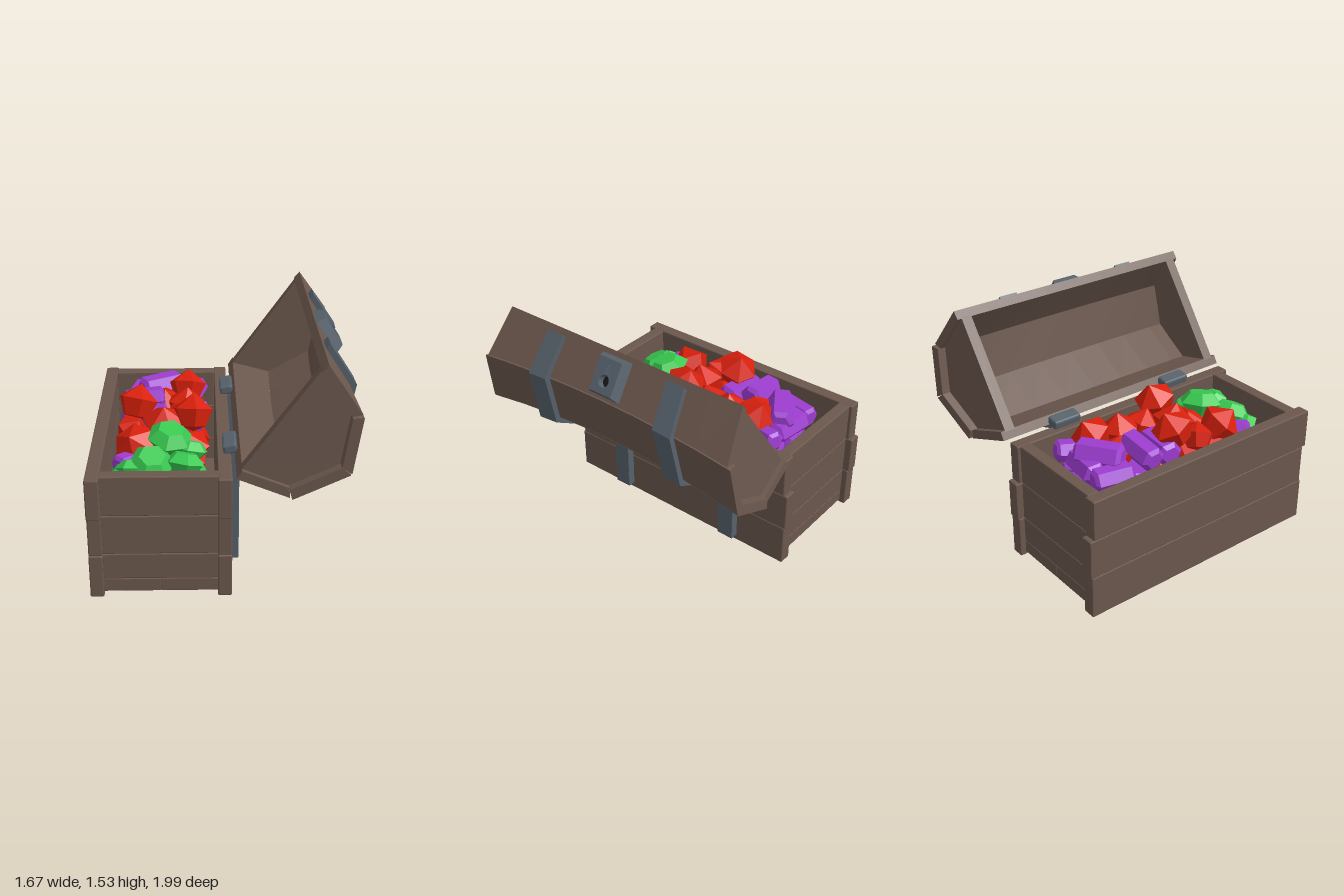
import * as THREE from 'three';
import { RoundedBoxGeometry } from 'three/addons/geometries/RoundedBoxGeometry.js';

const mat = (color) => new THREE.MeshStandardMaterial({ color, flatShading: true });
const WOOD = mat(0x6b574d), IRON = mat(0x56616b), DARK = mat(0x15171a);
const RED = mat(0xd8200c), GREEN = mat(0x38c950), PURPLE = mat(0x9c3ccf);

function add(parent, name, geometry, material, x = 0, y = 0, z = 0) {
  const mesh = new THREE.Mesh(geometry, material);
  mesh.name = name;
  mesh.position.set(x, y, z);
  parent.add(mesh);
  return mesh;
}
const board = (w, h, d, bevel = 0.007) => new RoundedBoxGeometry(w, h, d, 1, bevel);

// Lid cross-section: x runs across the opening, -y is the height of the lid
const PROFILE = [[0, 0], [0.1, -0.32], [0.44, -0.492], [0.755, -0.335], [0.87, 0]];
// Scaled profile; trim shortens its last side
function ring(s, trim = 0) {
  const pts = PROFILE.map(([x, y]) => new THREE.Vector2(0.435 + (x - 0.435) * s, y * s));
  pts[4].lerp(pts[3], trim);
  return pts;
}

// Extrude a lid section from z0 to z1, flaring the ends and pinching the middle
function lidSection(points, z0, z1, steps) {
  const g = new THREE.ExtrudeGeometry(new THREE.Shape(points), { depth: z1 - z0, steps, bevelEnabled: false });
  g.translate(0, 0, z0);
  const p = g.attributes.position;
  for (let i = 0; i < p.count; i++) {
    const y = p.getY(i), z = p.getZ(i);
    p.setY(i, y * (0.86 + 0.14 * (z / 0.91) ** 2));
    p.setZ(i, z * (1 - 0.17 * y));
  }
  g.computeVertexNormals();
  return g;
}

// One flat strip of the lid between two profiles, grooved at the outer edges
function lidStrip(i, a, b, z0, z1, steps, groove) {
  return lidSection([
    a[i], b[i].clone().lerp(b[i + 1], groove), b[i + 1].clone().lerp(b[i], groove), a[i + 1],
  ], z0, z1, steps);
}

function buildBase() {
  const base = new THREE.Group();
  base.name = 'base';
  // Three rows of planks; the long walls overlap the ends
  const rows = [[0, 0.287, -0.004], [0.287, 0.55, -0.013], [0.55, 0.815, 0.014]];
  rows.forEach(([y0, y1, shift], r) => {
    const y = (y0 + y1) / 2, h = y1 - y0;
    for (const s of [-1, 1]) {
      add(base, 'longPlank', board(0.085, h, 1.765), WOOD, s * 0.392, y, shift);
      const low = r === 0 ? 0.11 : y0;
      add(base, 'endPlank', board(0.71, y1 - low, 0.08), WOOD, 0, (low + y1) / 2, s * 0.808);
    }
  });
  // Two floor boards
  for (const s of [-1, 1]) {
    add(base, 'floorBoard', board(0.353, 0.09, 1.695, 0.005), WOOD, s * 0.177, 0.065, 0);
  }
  // Back straps and hinges
  for (const s of [-1, 1]) {
    add(base, 'backStrap', board(0.06, 0.75, 0.12, 0.005), IRON, 0.458, 0.415, s * 0.457);
    add(base, 'hinge', board(0.09, 0.065, 0.2, 0.014), IRON, 0.429, 0.842, s * 0.457).rotation.z = 0.2;
  }
  return base;
}

function buildLock() {
  const lock = new THREE.Group();
  lock.name = 'lock';
  const plate = new THREE.Shape([[-0.115, -0.125], [0.115, -0.125], [0.115, 0.125], [-0.115, 0.125]]
    .map(([x, y]) => new THREE.Vector2(x, y)));
  const keyhole = new THREE.Path();
  keyhole.moveTo(-0.008, 0.075);
  keyhole.lineTo(0.008, 0.075);
  keyhole.absarc(0, -0.03, 0.038, 1.2, 1.94, true);
  plate.holes.push(keyhole);
  const g = new THREE.ExtrudeGeometry(plate, { depth: 0.06, bevelEnabled: false, curveSegments: 8 });
  // Slope the outer sides inward towards the face
  const p = g.attributes.position;
  for (let i = 0; i < p.count; i++) {
    if (Math.abs(p.getX(i)) > 0.1 && p.getZ(i) > 0.03) p.setXY(i, p.getX(i) * 0.74, p.getY(i) * 0.85);
  }
  g.computeVertexNormals();
  add(lock, 'lockPlate', g, IRON);
  add(lock, 'keyholeBack', new THREE.BoxGeometry(0.1, 0.16, 0.01), DARK, 0, 0, 0.008);
  return lock;
}

function buildLid() {
  const lid = new THREE.Group();
  lid.name = 'lid';
  // The two crown planks reach a little further than the outer two
  [0.9, 0.92, 0.92, 0.9].forEach((half, i) => {
    add(lid, 'lidPlank', lidStrip(i, ring(0.86), ring(1), -half, half, 8, 0.015), WOOD);
    for (const s of [-1, 1]) {
      const c = s * 0.465;
      const strap = lidStrip(i, ring(0.98, 0.16), ring(1.09, 0.16), c - 0.063, c + 0.063, 1, 0);
      add(lid, 'lidStrap', strap, IRON);
    }
  });
  // Recessed end panels
  add(lid, 'lidEnd', lidSection(ring(0.88), 0.8, 0.87, 1), WOOD);
  add(lid, 'lidEnd', lidSection(ring(0.88), -0.87, -0.8, 1), WOOD);
  const lock = buildLock();
  lock.position.set(0.809, -0.15, -0.01);
  lock.rotation.set(0, Math.PI / 2, -0.376, 'ZYX');
  lid.add(lock);
  return lid;
}

// Faceted gems from six-sided lathe profiles
const lathe = (pts) => new THREE.LatheGeometry(pts.map(([x, y]) => new THREE.Vector2(x, y)), 6);
const GEMS = {
  red: [RED, lathe([[0, -0.9], [0.65, -0.65], [1, 0.2], [0, 0.95]])],
  green: [GREEN, lathe([[0, -1], [1.05, 0.2], [0.6, 0.7], [0, 0.7]])],
  purple: [PURPLE, lathe([[0, -1], [0.4, -1], [0.6, -0.85], [0.6, 0.85], [0.4, 1], [0, 1]]).rotateZ(Math.PI / 2)],
};

function buildTreasure() {
  const pile = new THREE.Group();
  pile.name = 'treasure';
  let seed = 7;
  const rnd = () => (seed = (seed * 16807) % 2147483647) / 2147483647;
  const gem = (kind, x, y, z, r, turn) => {
    const [material, geometry] = GEMS[kind];
    const m = add(pile, kind + 'Gem', geometry, material, x, y, z);
    m.scale.setScalar(r);
    const tilt = kind === 'purple' ? 0.3 : 1.2;
    m.rotation.set((rnd() - 0.5) * tilt, turn ?? rnd() * 6, (rnd() - 0.5) * tilt);
  };
  // Visible top layer: x, y, z, radius, optional turn
  const top = {
    red: [[-0.55, 0.89, -0.01, 0.135], [-0.18, 0.89, 0.14, 0.135], [-0.24, 0.84, -0.41, 0.13],
      [-0.24, 0.8, -0.19, 0.13], [-0.37, 0.81, 0.14, 0.14], [-0.53, 0.78, 0.4, 0.14],
      [-0.57, 0.78, 0.18, 0.11], [-0.25, 0.79, -0.02, 0.12], [-0.4, 0.76, -0.33, 0.12], [-0.35, 0.76, 0.28, 0.11]],
    green: [[-0.32, 0.82, 0.41, 0.14], [-0.19, 0.74, 0.43, 0.11], [-0.42, 0.73, 0.58, 0.14],
      [-0.22, 0.73, 0.59, 0.12], [-0.54, 0.7, 0.6, 0.1]],
    purple: [[-0.43, 0.81, -0.48, 0.155, 0.6], [-0.53, 0.81, -0.24, 0.14, 0.02], [-0.51, 0.77, -0.08, 0.145, -0.1],
      [-0.59, 0.74, -0.5, 0.13, 1.4], [-0.2, 0.75, -0.52, 0.12, 1.3], [-0.4, 0.74, -0.56, 0.14, -0.1],
      [-0.19, 0.72, -0.08, 0.13, 1.5], [-0.55, 0.71, 0.49, 0.12, 0.8]],
  };
  for (const kind in top) top[kind].forEach((g) => gem(kind, ...g));
  // Filling underneath
  for (let i = 0; i < 3; i++) {
    for (let j = 0; j < 6; j++) {
      const kind = j < 2 ? 'purple' : j < 5 ? 'red' : 'green';
      gem(kind, -0.55 + i * 0.17, 0.64, -0.5 + j * 0.21, 0.14);
    }
  }
  return pile;
}

export function createModel() {
  const model = new THREE.Group();
  model.name = 'treasureChest';
  // The chest stands slightly turned
  const chest = new THREE.Group();
  chest.name = 'chest';
  chest.rotation.y = 0.036;
  const base = buildBase();
  base.position.set(-0.387, 0, 0.023);
  const lid = buildLid();
  lid.position.set(0.065, 0.825, 0.025);
  lid.rotation.z = 0.948;
  chest.add(base, lid);
  model.add(chest, buildTreasure());
  return model;
}
